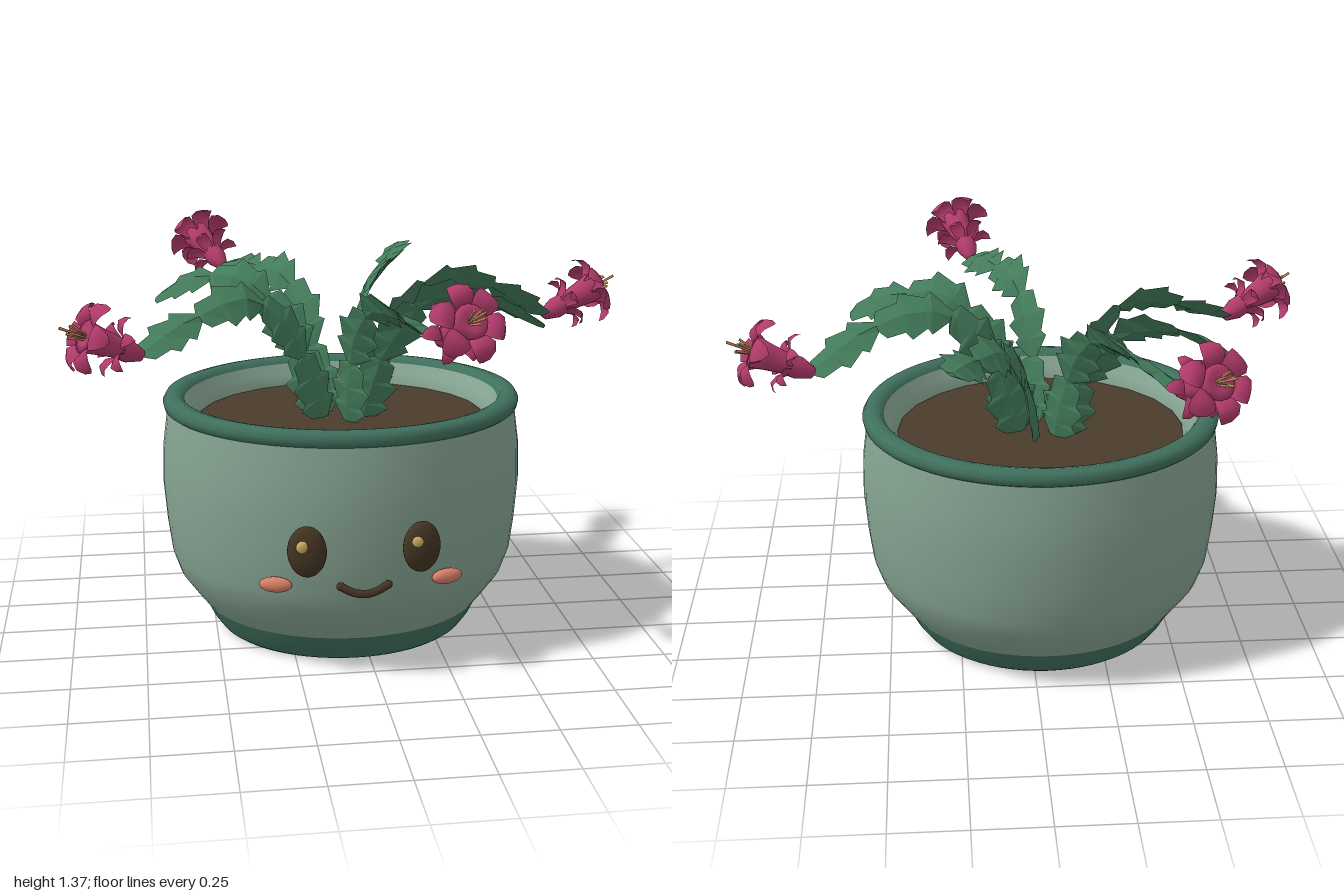
import * as THREE from 'three';
import { mergeGeometries } from 'three/addons/utils/BufferGeometryUtils.js';

const V = (x, y, z) => new THREE.Vector3(x, y, z);
const DS = { side: THREE.DoubleSide };
const paint = (name, color, extra = {}) => new THREE.MeshStandardMaterial({ name, color, ...extra });

const mats = {
  pot: paint('sage glaze', 0x86a492),
  trim: paint('dark green glaze', 0x40705d),
  soil: paint('soil brown', 0x4b3c2b),
  leaf: paint('leaf green', 0x437b5a),
  petal: paint('magenta', 0xb23b6b, DS),
  stamen: paint('stamen tan', 0xc4895c),
  face: paint('face brown', 0x443523),
  glint: paint('glint gold', 0xd2b262),
  cheek: paint('coral', 0xd97f68),
};

function mesh(name, geo, mat, parent) {
  const m = new THREE.Mesh(geo, mat);
  m.name = name;
  parent.add(m);
  return m;
}

const lathe = (pts, n = 64) => new THREE.LatheGeometry(pts.map(p => new THREE.Vector2(...p)), n);

// Slightly oval pot: foot with drain hole, body, rolled rim, lining and soil
function buildPot() {
  const pot = new THREE.Group();
  pot.name = 'pot';
  pot.position.set(-0.045, 0, -0.01);
  pot.scale.z = 0.93;
  mesh('foot', lathe([[0.13, 0.11], [0.135, 0.03], [0.165, 0.005], [0.42, 0], [0.437, 0.012], [0.465, 0.05], [0.49, 0.1]]), mats.trim, pot);
  mesh('body', lathe([[0.49, 0.1], [0.525, 0.145], [0.575, 0.215], [0.601, 0.29], [0.615, 0.4], [0.626, 0.54], [0.622, 0.67], [0.605, 0.795]]), mats.pot, pot);
  mesh('rim', lathe([[0.6, 0.79], [0.614, 0.8], [0.619, 0.822], [0.608, 0.842], [0.58, 0.848], [0.556, 0.842], [0.545, 0.825]]), mats.trim, pot);
  mesh('lining', lathe([[0.545, 0.825], [0.525, 0.79], [0.495, 0.74], [0.485, 0.5], [0.45, 0.2], [0.32, 0.11], [0.13, 0.11]]), mats.pot, pot);
  const soil = mesh('soil', new THREE.CircleGeometry(0.5, 24), mats.soil, pot);
  soil.rotation.x = -Math.PI / 2;
  soil.position.y = 0.752;
  return pot;
}

// Eyes, cheeks and smile resting on the front of the pot
function buildFace() {
  const face = new THREE.Group();
  face.name = 'face';
  const cx = -0.045;
  const ball = (name, mat, pos, size, yaw = 0) => {
    const b = mesh(name, new THREE.SphereGeometry(1, 24, 16), mat, face);
    b.position.set(...pos);
    b.scale.set(...size);
    b.rotation.y = yaw;
  };
  for (const s of [-1, 1]) {
    const side = s > 0 ? 'left' : 'right';
    ball(side + 'Eye', mats.face, [cx + s * 0.186, 0.46, 0.568], [0.064, 0.086, 0.033], s * 0.2);
    ball(side + 'EyeGlint', mats.glint, [cx + s * 0.186 - 0.018, 0.485, 0.594], [0.02, 0.021, 0.011]);
    ball(side + 'Cheek', mats.cheek, [cx + s * 0.283, 0.33, 0.507], [0.055, 0.026, 0.022], s * 0.3);
  }
  const smile = new THREE.CatmullRomCurve3([V(-0.123, 0.335, 0.567), V(-0.085, 0.316, 0.573), V(cx, 0.309, 0.577), V(-0.005, 0.316, 0.573), V(0.033, 0.335, 0.567)]);
  mesh('smile', new THREE.TubeGeometry(smile, 20, 0.014, 8), mats.face, face);
  for (const e of [0, 1]) {
    const p = smile.getPoint(e);
    ball('smileEnd', mats.face, [p.x, p.y, p.z], [0.014, 0.014, 0.014]);
  }
  return face;
}

// Jointed flat stem with saw-toothed edges: upright at the root, turning flatter outward
function stemGeometry(points) {
  const joints = 4, teeth = 3, rows = [];
  for (let j = 0; j < joints; j++) {
    for (let k = 0; k < teeth; k++) {
      for (const [f, m] of [[0, 0.74], [0.8, 1.1]]) {
        const u = (k + f) / teeth, t = (j + u) / joints;
        const w = (1.15 - 0.15 * t) * (0.028 + 0.048 * Math.sin(Math.PI * 0.92 * Math.pow(u, 0.9)));
        rows.push([t, w * m, 0.008 + 0.008 * Math.sin(Math.PI * u)]);
      }
    }
  }
  rows.push([1, 0.02, 0.006], [1, 0.0005, 0.0005]);

  const curve = new THREE.CatmullRomCurve3(points);
  const out = points[points.length - 1].clone().sub(points[0]).setY(0).normalize();
  const across = V(0, 1, 0).cross(out);
  const pos = [], idx = [];
  rows.forEach(([t, w, d], i) => {
    const p = curve.getPointAt(t), tan = curve.getTangentAt(t);
    const side = across.clone().addScaledVector(tan, -across.dot(tan)).normalize();
    side.applyAxisAngle(tan, -1.3 * (1 - 0.75 * Math.pow(t, 1.6)));
    const nor = tan.clone().cross(side);
    for (const [a, b] of [[w, 0], [0, d], [-w, 0], [0, -d]]) {
      const q = p.clone().addScaledVector(side, a).addScaledVector(nor, b);
      pos.push(q.x, q.y, q.z);
    }
    if (i === 0) return;
    for (let j = 0; j < 4; j++) {
      const a = (i - 1) * 4 + j, b = (i - 1) * 4 + (j + 1) % 4;
      idx.push(a, b, b + 4, a, b + 4, a + 4);
    }
  });
  const g = new THREE.BufferGeometry();
  g.setAttribute('position', new THREE.Float32BufferAttribute(pos, 3));
  g.setIndex(idx);
  const flat = g.toNonIndexed();
  flat.computeVertexNormals();
  return flat;
}

// Ring of curled petals; each profile row is [radius, height, half width]
function petalRing(profile, count, phase) {
  const pos = [], idx = [];
  profile.forEach(([r, y, w], i) => {
    for (const s of [-1, -0.5, 0, 0.5, 1]) pos.push(r, y - 0.22 * w * s * s, s * w);
    if (i === 0) return;
    for (let j = 0; j < 4; j++) {
      const a = (i - 1) * 5 + j;
      idx.push(a, a + 1, a + 6, a, a + 6, a + 5);
    }
  });
  const petal = new THREE.BufferGeometry();
  petal.setAttribute('position', new THREE.Float32BufferAttribute(pos, 3));
  petal.setIndex(idx);
  petal.computeVertexNormals();
  const ring = [];
  for (let i = 0; i < count; i++) ring.push(petal.clone().rotateY(phase + i * 2 * Math.PI / count));
  return mergeGeometries(ring);
}

// Two-tiered trumpet flower pointing along +y
function buildFlower(base, tip) {
  const f = new THREE.Group();
  f.name = 'flower';
  mesh('flowerTube', lathe([[0.001, -0.01], [0.02, 0], [0.038, 0.05], [0.036, 0.1], [0.045, 0.16], [0.055, 0.21], [0.03, 0.212], [0.001, 0.205]], 16), mats.petal, f);
  mesh('lowerPetals', petalRing([[0.03, 0.075, 0.014], [0.052, 0.108, 0.024], [0.08, 0.118, 0.024], [0.1, 0.103, 0.014], [0.105, 0.085, 0.001]], 6, 0.3), mats.petal, f);
  mesh('upperPetals', petalRing([[0.04, 0.18, 0.02], [0.055, 0.215, 0.034], [0.08, 0.232, 0.042], [0.106, 0.22, 0.036], [0.121, 0.195, 0.02], [0.123, 0.18, 0.001]], 6, 0), mats.petal, f);
  const threads = [];
  for (let i = 0; i < 6; i++) {
    const len = i ? 0.06 : 0.095;
    const t = new THREE.CylinderGeometry(0.005, 0.003, len, 6).translate(0, len / 2, 0);
    if (i) t.rotateZ(-0.25).translate(0.008, 0, 0).rotateY(i * Math.PI * 0.4);
    threads.push(t.translate(0, 0.205, 0));
  }
  mesh('stamens', mergeGeometries(threads), mats.stamen, f);
  f.position.copy(base);
  f.quaternion.setFromUnitVectors(V(0, 1, 0), tip.clone().sub(base).normalize());
  return f;
}

// Stem paths; those with a tip carry a flower
const stems = [
  { path: [[-0.09, 0.74, -0.07], [-0.14, 1.02, -0.15], [-0.2, 1.18, -0.29], [-0.3, 1.2, -0.5], [-0.41, 1.17, -0.71]], tip: [-0.53, 1.3, -0.94] },
  { path: [[0.03, 0.74, -0.03], [0.13, 1.03, -0.05], [0.28, 1.2, -0.07], [0.5, 1.18, -0.11], [0.72, 1.05, -0.19]], tip: [0.99, 1.18, -0.23] },
  { path: [[-0.11, 0.74, 0.01], [-0.21, 1.03, 0.03], [-0.36, 1.18, 0.08], [-0.55, 1.14, 0.16], [-0.73, 1.05, 0.27]], tip: [-0.98, 1.17, 0.38] },
  { path: [[-0.03, 0.74, 0.07], [-0.02, 1.03, 0.15], [0.02, 1.18, 0.29], [0.09, 1.19, 0.48], [0.17, 1.16, 0.68]], tip: [0.25, 1.3, 0.94] },
  { path: [[-0.03, 0.74, -0.08], [0.03, 1.02, -0.17], [0.11, 1.16, -0.35], [0.2, 1.2, -0.52], [0.27, 1.24, -0.71]] },
  { path: [[-0.11, 0.74, -0.05], [-0.2, 1.02, -0.12], [-0.35, 1.19, -0.21], [-0.52, 1.19, -0.31], [-0.67, 1.11, -0.37]] },
  { path: [[0.02, 0.74, 0.02], [0.11, 1.01, 0.05], [0.26, 1.19, 0.12], [0.44, 1.18, 0.19], [0.61, 1.1, 0.24]] },
];

export function createModel() {
  const model = new THREE.Group();
  model.name = 'pottedCactus';
  model.add(buildPot(), buildFace());
  for (const { path, tip } of stems) {
    const pts = path.map(p => V(...p));
    mesh('leafStem', stemGeometry(pts), mats.leaf, model);
    if (tip) model.add(buildFlower(pts[pts.length - 1], V(...tip)));
  }
  return model;
}
